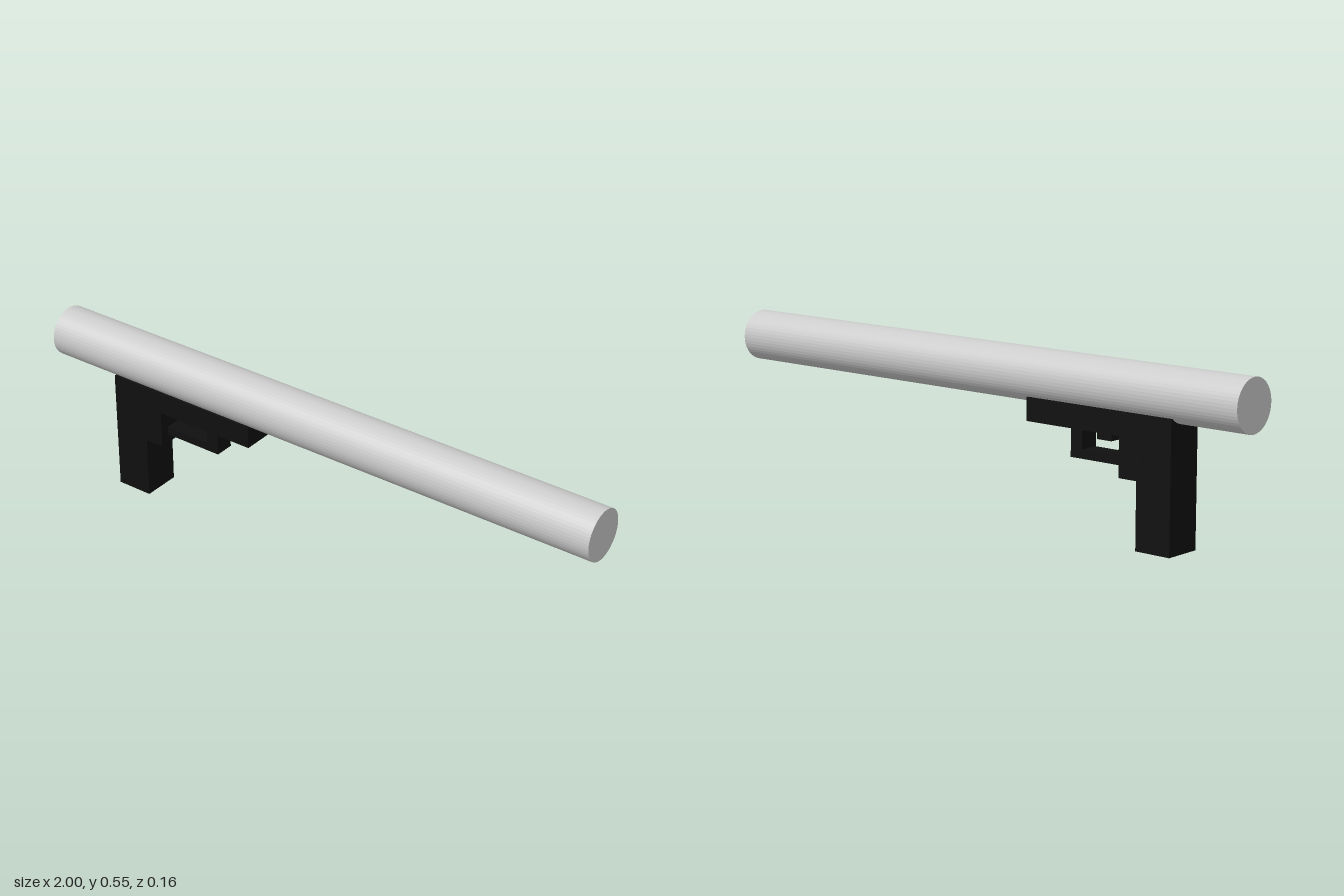
import * as THREE from 'three';

export function createModel() {
  const group = new THREE.Group();
  const grey = new THREE.MeshStandardMaterial({ color: 0xcccccc, flatShading: true });
  const black = new THREE.MeshStandardMaterial({ color: 0x101010 });

  const add = (name, geometry, material) => {
    const mesh = new THREE.Mesh(geometry, material);
    mesh.name = name;
    group.add(mesh);
    return mesh;
  };

  // Box given by its x range, y range and width across z
  const block = (name, x0, x1, y0, y1, width) =>
    add(name, new THREE.BoxGeometry(x1 - x0, y1 - y0, width), black)
      .position.set((x0 + x1) / 2, (y0 + y1) / 2, 0.001);

  // Long closed barrel lying along x
  const barrel = add('barrel', new THREE.CylinderGeometry(0.082, 0.082, 2, 48), grey);
  barrel.rotation.z = -Math.PI / 2;
  barrel.position.y = 0.465;

  // Full-width grip and the mount under the barrel
  const wide = 0.126, narrow = 0.065;
  block('grip', -0.76, -0.637, 0, 0.405, wide);
  block('mount', -0.637, -0.22, 0.332, 0.405, wide);
  block('gripStep', -0.637, -0.572, 0.208, 0.332, wide);

  // Narrow trigger guard and trigger
  block('guardBar', -0.572, -0.41, 0.238, 0.266, narrow);
  block('guardPost', -0.41, -0.367, 0.238, 0.332, narrow);
  block('trigger', -0.52, -0.467, 0.305, 0.332, narrow);

  // Small pin on the back of the grip
  const pin = add('gripPin', new THREE.CylinderGeometry(0.01, 0.01, 0.004, 16), black);
  pin.rotation.x = Math.PI / 2;
  pin.position.set(-0.655, 0.285, -0.062);

  return group;
}
